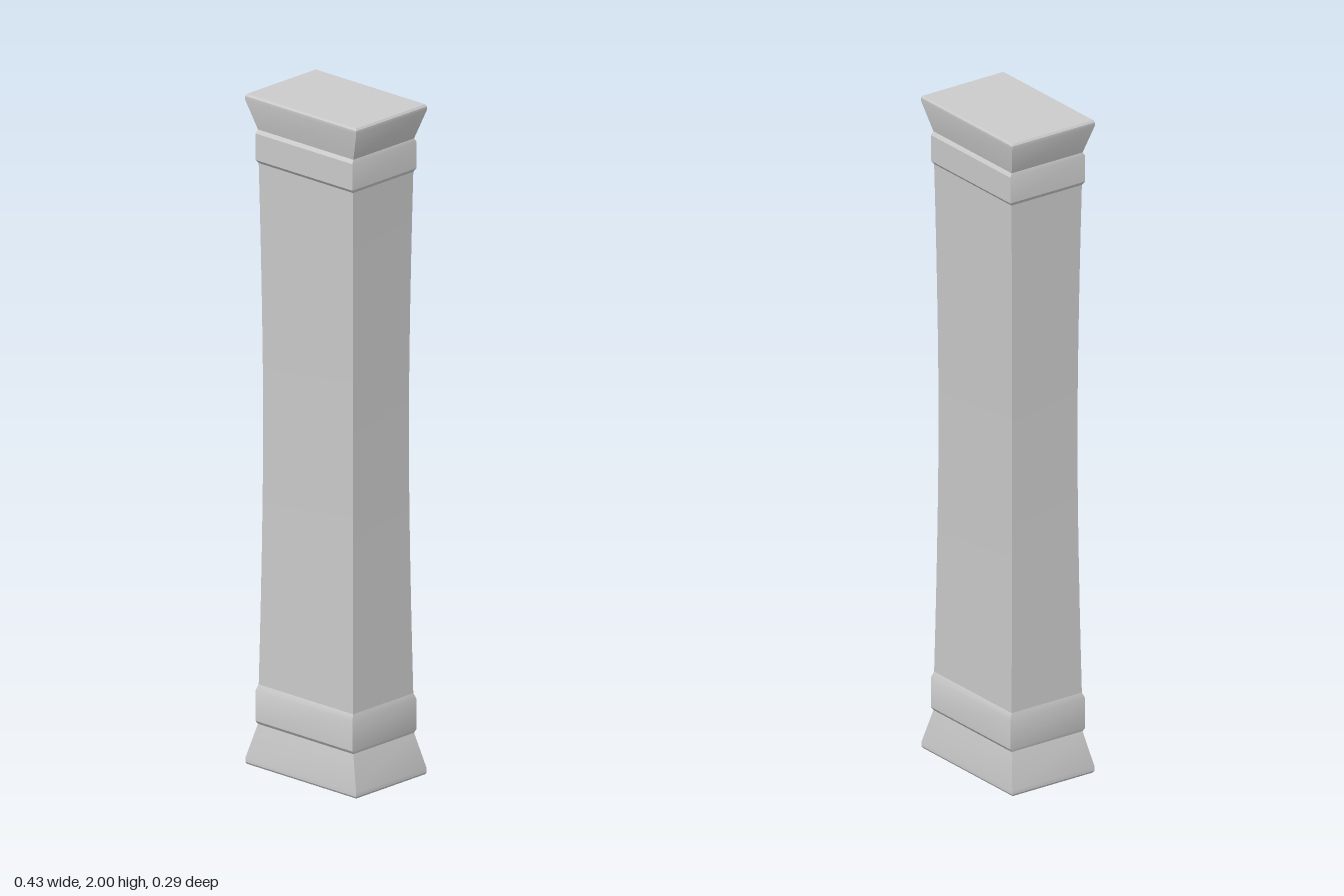
import * as THREE from 'three';
import { toCreasedNormals } from 'three/addons/utils/BufferGeometryUtils.js';

// Lofts rectangular sections [y, halfWidth, halfDepth], listed from bottom to top.
function rectLoft(sections, { capBottom = false, capTop = false } = {}) {
  const positions = [];
  const corners = ([y, w, d]) => [[w, y, d], [w, y, -d], [-w, y, -d], [-w, y, d]];
  const quad = (a, b, c, d) => positions.push(...a, ...b, ...c, ...a, ...c, ...d);
  for (let i = 0; i < sections.length - 1; i++) {
    const lo = corners(sections[i]);
    const hi = corners(sections[i + 1]);
    for (let k = 0; k < 4; k++) {
      const n = (k + 1) % 4;
      quad(lo[k], lo[n], hi[n], hi[k]);
    }
  }
  if (capBottom) quad(...corners(sections[0]).reverse());
  if (capTop) quad(...corners(sections[sections.length - 1]));
  const geometry = new THREE.BufferGeometry();
  geometry.setAttribute('position', new THREE.Float32BufferAttribute(positions, 3));
  return toCreasedNormals(geometry, Math.PI / 7);
}

export function createModel() {
  const group = new THREE.Group();
  group.name = 'pillar';
  const material = new THREE.MeshStandardMaterial({ color: 0xcccccc });
  const add = (name, sections, caps) => {
    const mesh = new THREE.Mesh(rectLoft(sections, caps), material);
    mesh.name = name;
    group.add(mesh);
  };

  // Flared foot with a small bevel at the floor
  add('base', [
    [0, 0.211, 0.14], [0.006, 0.215, 0.144], [0.018, 0.215, 0.144],
    [0.122, 0.185, 0.124],
  ], { capBottom: true });

  // Raised band above the foot, with a sloped upper edge
  add('lowerBand', [
    [0.122, 0.185, 0.124], [0.132, 0.188, 0.131],
    [0.222, 0.188, 0.131], [0.24, 0.183, 0.123],
  ]);

  // Shaft, gently waisted towards the middle
  const shaft = [];
  const steps = 12;
  for (let i = 0; i <= steps; i++) {
    const t = i / steps;
    const flare = Math.pow(Math.abs(2 * t - 1), 1.6);
    shaft.push([0.24 + 1.556 * t, 0.174 + 0.009 * flare, 0.114 + 0.009 * flare]);
  }
  add('shaft', shaft);

  // Raised band below the capital
  add('upperBand', [
    [1.796, 0.183, 0.123], [1.806, 0.188, 0.131],
    [1.885, 0.188, 0.131], [1.896, 0.185, 0.124],
  ]);

  // Flared capital with a small bevel at the top
  add('capital', [
    [1.896, 0.185, 0.124], [1.985, 0.216, 0.145],
    [1.994, 0.216, 0.145], [2, 0.212, 0.141],
  ], { capTop: true });

  return group;
}
